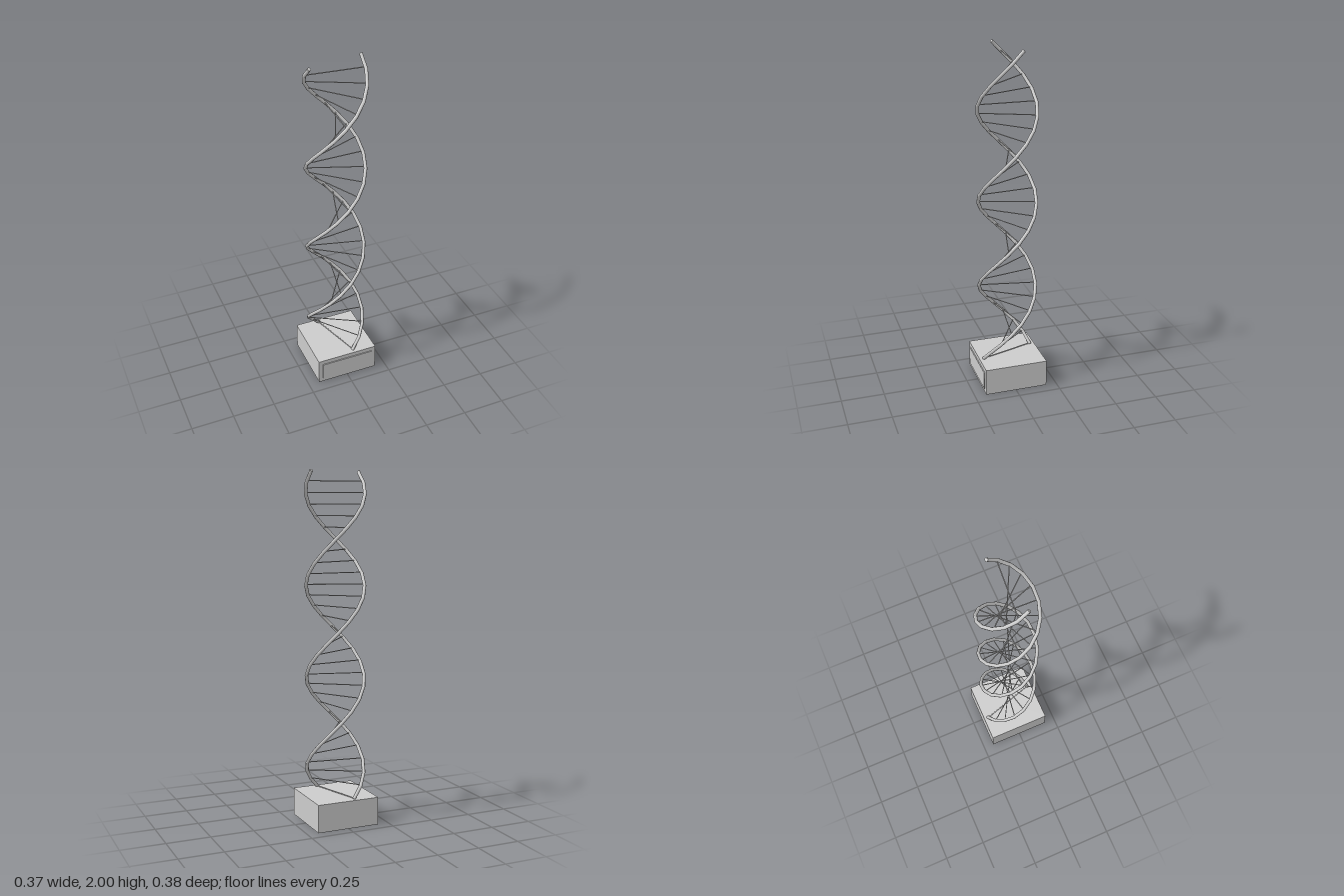
import * as THREE from 'three';

const RADIUS = 0.165, Z0 = -0.003;
const Y_BOTTOM = 0.16, Y_TOP = 1.994, STEPS = 29;
const PITCH = 1.05, Y_CROSS = 0.64; // strands cross the x = 0 plane at Y_CROSS

// Point on a strand at height y; phase selects the strand
function helixPoint(y, phase) {
  const a = ((y - Y_CROSS) / PITCH) * Math.PI * 2 + phase;
  return new THREE.Vector3(RADIUS * Math.sin(a), y, RADIUS * Math.cos(a) + Z0);
}

class Helix extends THREE.Curve {
  constructor(phase) {
    super();
    this.phase = phase;
  }
  getPoint(t, target = new THREE.Vector3()) {
    return target.copy(helixPoint(Y_BOTTOM + (Y_TOP - Y_BOTTOM) * t, this.phase));
  }
}

export function createModel() {
  const model = new THREE.Group();
  model.name = 'doubleHelixStand';
  const grey = new THREE.MeshStandardMaterial({ color: 0xcccccc });
  const add = (name, geometry, parent = model) => {
    const mesh = new THREE.Mesh(geometry, grey);
    mesh.name = name;
    parent.add(mesh);
    return mesh;
  };

  // Square base with a thin plaque on its front
  add('base', new THREE.BoxGeometry(0.37, 0.16, 0.37)).position.set(0, 0.08, Z0);
  add('plaque', new THREE.BoxGeometry(0.32, 0.107, 0.008)).position.set(0, 0.08, 0.184);

  // Two strands, half a turn apart, with capped ends
  [0, Math.PI].forEach((phase, i) => {
    const strand = new THREE.Group();
    strand.name = i ? 'strandB' : 'strandA';
    model.add(strand);
    const path = new Helix(phase);
    add('strandTube', new THREE.TubeGeometry(path, STEPS, 0.01, 8), strand);
    for (const t of [0, 1]) {
      const cap = add('strandCap', new THREE.CircleGeometry(0.01, 8), strand);
      const outward = path.getTangent(t).multiplyScalar(t ? 1 : -1);
      cap.position.copy(path.getPoint(t));
      cap.quaternion.setFromUnitVectors(new THREE.Vector3(0, 0, 1), outward);
    }
  });

  // Rungs joining the strands
  const rungs = new THREE.Group();
  rungs.name = 'rungs';
  model.add(rungs);
  const rungGeometry = new THREE.CylinderGeometry(0.003, 0.003, RADIUS * 2, 6);
  for (let i = 0; i < STEPS; i++) {
    const y = 0.164 + i * 0.0634;
    const direction = helixPoint(y, 0).sub(new THREE.Vector3(0, y, Z0)).normalize();
    const rung = add('rung', rungGeometry, rungs);
    rung.position.set(0, y, Z0);
    rung.quaternion.setFromUnitVectors(new THREE.Vector3(0, 1, 0), direction);
  }
  return model;
}
